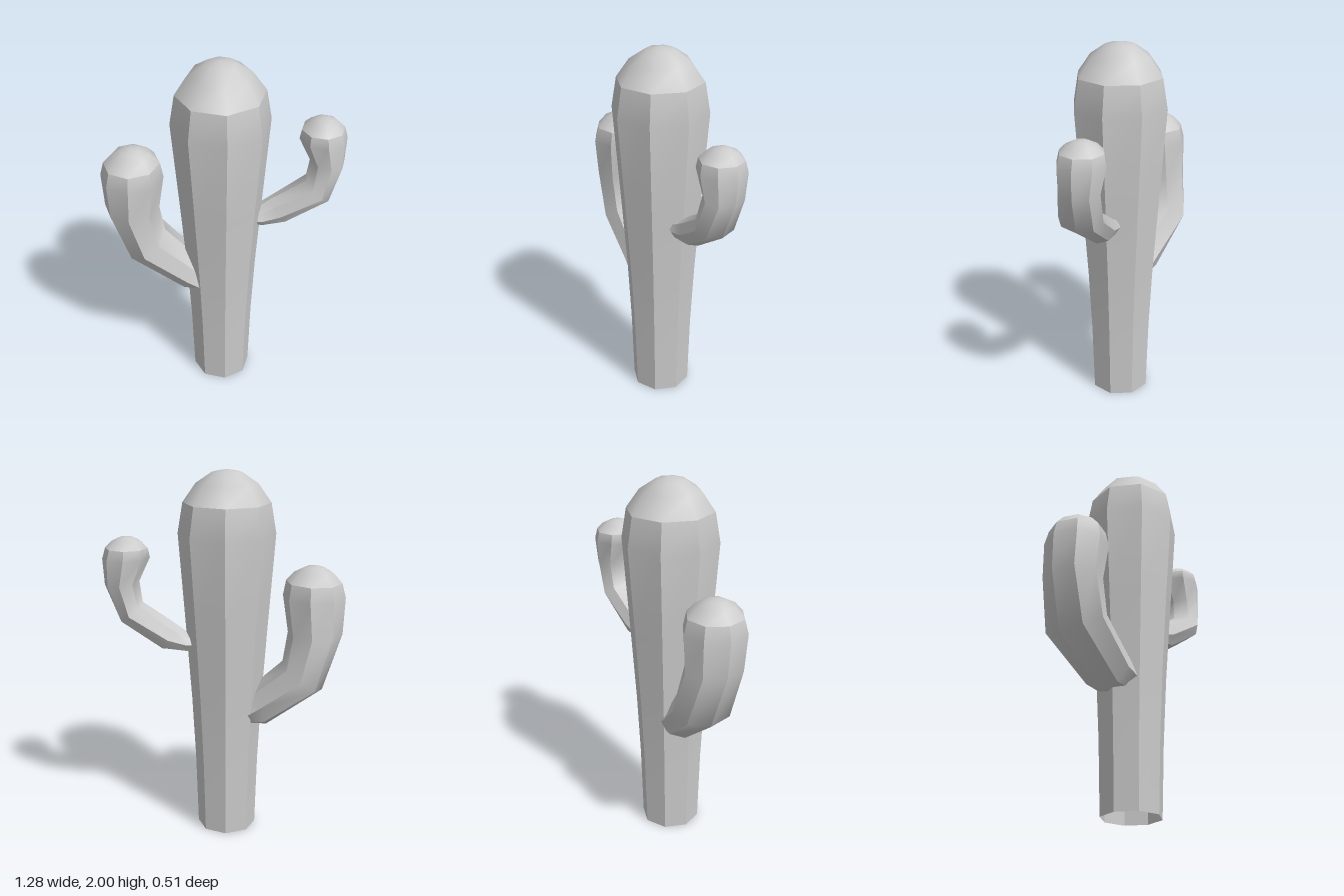
import * as THREE from 'three';

const SIDES = 8;
const material = new THREE.MeshStandardMaterial({ color: 0xcccccc, side: THREE.DoubleSide });

// Ring: [outer x, outer y, inner x, inner y, centre z, half width in z]
function ringPoints([xo, yo, xi, yi, z, rz], turn) {
  const side = Math.sign(xo - xi);
  return Array.from({ length: SIDES + 1 }, (_, i) => {
    const a = turn + (i % SIDES) * Math.PI * 2 / SIDES;
    const c = Math.cos(a) / 2;
    return new THREE.Vector3(
      (xo + xi) / 2 + (xo - xi) * c,
      (yo + yi) / 2 + (yo - yi) * c,
      z + side * rz * Math.sin(a));
  });
}

function makeMesh(name, points, index) {
  const geometry = new THREE.BufferGeometry().setFromPoints(points);
  geometry.setIndex(index);
  geometry.computeVertexNormals();
  const mesh = new THREE.Mesh(geometry, material);
  mesh.name = name;
  return mesh;
}

// Ribbed stem: every side is its own strip, so ribs stay sharp and lengths smooth
function makeStem(name, rings) {
  const points = [], index = [];
  for (let i = 0; i < SIDES; i++) {
    rings.forEach((ring, j) => {
      const k = points.length;
      points.push(ring[i], ring[i + 1]);
      if (j < rings.length - 1) index.push(k, k + 2, k + 1, k + 1, k + 2, k + 3);
    });
  }
  return makeMesh(name, points, index);
}

// Smooth dome that shrinks the rim towards an apex
function makeDome(name, rim, height) {
  const centre = new THREE.Vector3();
  for (let i = 0; i < SIDES; i++) centre.addScaledVector(rim[i], 1 / SIDES);
  const points = [], index = [];
  const steps = [[1, 0], [0.7, 0.58], [0.34, 0.91]];
  steps.forEach(([scale, rise], j) => {
    for (let i = 0; i < SIDES; i++) {
      const p = rim[i].clone().lerp(centre, 1 - scale);
      p.y += height * rise;
      points.push(p);
      const a = j * SIDES + i, b = j * SIDES + (i + 1) % SIDES;
      if (j < steps.length - 1) index.push(a, a + SIDES, b, b, a + SIDES, b + SIDES);
      else index.push(a, steps.length * SIDES, b);
    }
  });
  points.push(centre.clone().setY(centre.y + height));
  return makeMesh(name, points, index);
}

function makeLimb(name, sections, domeHeight, turn = 0) {
  const limb = new THREE.Group();
  limb.name = name;
  const rings = sections.map(s => ringPoints(s, turn));
  limb.add(makeStem(name + 'Stem', rings));
  limb.add(makeDome(name + 'Dome', rings[rings.length - 1], domeHeight));
  return limb;
}

export function createModel() {
  const model = new THREE.Group();
  model.name = 'cactus';

  // Trunk, open underneath: [height, radius]
  const trunk = [[0, 0.16], [0.4, 0.172], [0.75, 0.19], [1.2, 0.222], [1.67, 0.257], [1.83, 0.23]]
    .map(([y, r]) => [-0.02 + r, y, -0.02 - r, y, 0, r]);
  model.add(makeLimb('trunk', trunk, 0.17));

  // Large low arm
  model.add(makeLimb('rightArm', [
    [-0.08, 0.65, -0.06, 0.74, 0, 0.08],
    [-0.16, 0.625, -0.13, 0.77, -0.01, 0.135],
    [-0.24, 0.625, -0.19, 0.86, -0.03, 0.14],
    [-0.535, 0.85, -0.32, 0.99, -0.075, 0.178],
    [-0.635, 1.155, -0.345, 1.15, -0.06, 0.16],
    [-0.645, 1.35, -0.315, 1.35, -0.05, 0.17],
    [-0.625, 1.425, -0.33, 1.43, -0.05, 0.15],
  ], 0.085, 0.17));

  // Small high arm
  model.add(makeLimb('leftArm', [
    [0.1, 1.05, 0.1, 1.1, 0, 0.05].map((v, i) => (i === 0 ? v + 0.001 : v)),
    [0.195, 1.025, 0.19, 1.13, 0, 0.075],
    [0.33, 1.037, 0.25, 1.175, 0, 0.085],
    [0.555, 1.19, 0.43, 1.285, 0.018, 0.12],
    [0.63, 1.39, 0.445, 1.41, 0.005, 0.11],
    [0.638, 1.53, 0.385, 1.54, 0, 0.127],
    [0.62, 1.59, 0.395, 1.59, 0, 0.115],
  ], 0.06));

  return model;
}
